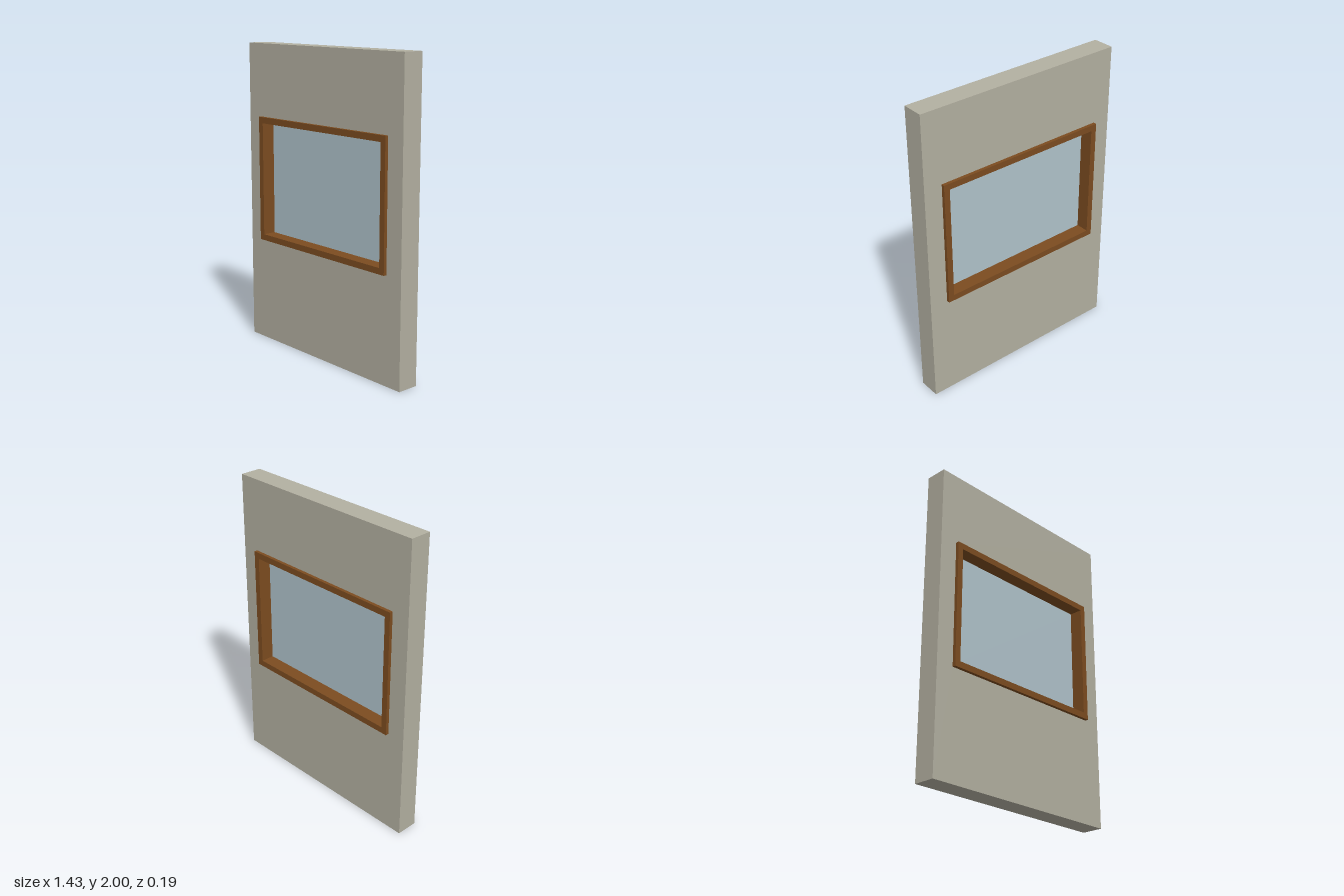
import * as THREE from 'three';

const wallPaint = new THREE.MeshStandardMaterial({ color: 0xb3b0a1 });
wallPaint.name = 'wall plaster';
const wood = new THREE.MeshStandardMaterial({ color: 0x7c4c20 });
wood.name = 'brown wood';
const paleGlass = new THREE.MeshStandardMaterial({ color: 0xb0c3cb });
paleGlass.name = 'pale blue glass';

// Rectangle corners, given as left, bottom, right, top
const corners = ([l, b, r, t]) => [[l, b], [r, b], [r, t], [l, t]].map(([x, y]) => new THREE.Vector2(x, y));

// Rectangular slab with a rectangular opening, centred in depth
function ring(name, outer, inner, depth, material) {
  const shape = new THREE.Shape(corners(outer));
  shape.holes.push(new THREE.Path(corners(inner).reverse()));
  const geometry = new THREE.ExtrudeGeometry(shape, { depth, bevelEnabled: false });
  geometry.translate(0, 0, -depth / 2);
  const mesh = new THREE.Mesh(geometry, material);
  mesh.name = name;
  return mesh;
}

export function createModel() {
  const model = new THREE.Group();
  model.name = 'wallWithWindow';

  const wallEdge = [-0.713, 0, 0.713, 2];
  const frameEdge = [-0.592, 0.695, 0.592, 1.523];
  const paneEdge = [-0.553, 0.735, 0.553, 1.483];

  // Wall panel, and a frame standing proud on both sides
  model.add(ring('wall', wallEdge, frameEdge, 0.142, wallPaint));
  model.add(ring('windowFrame', frameEdge, paneEdge, 0.186, wood));

  // Glass pane in the middle of the frame
  const [l, b, r, t] = paneEdge;
  const pane = new THREE.Mesh(new THREE.BoxGeometry(r - l, t - b, 0.009), paleGlass);
  pane.name = 'windowPane';
  pane.position.set(0, (b + t) / 2, 0);
  model.add(pane);

  return model;
}
